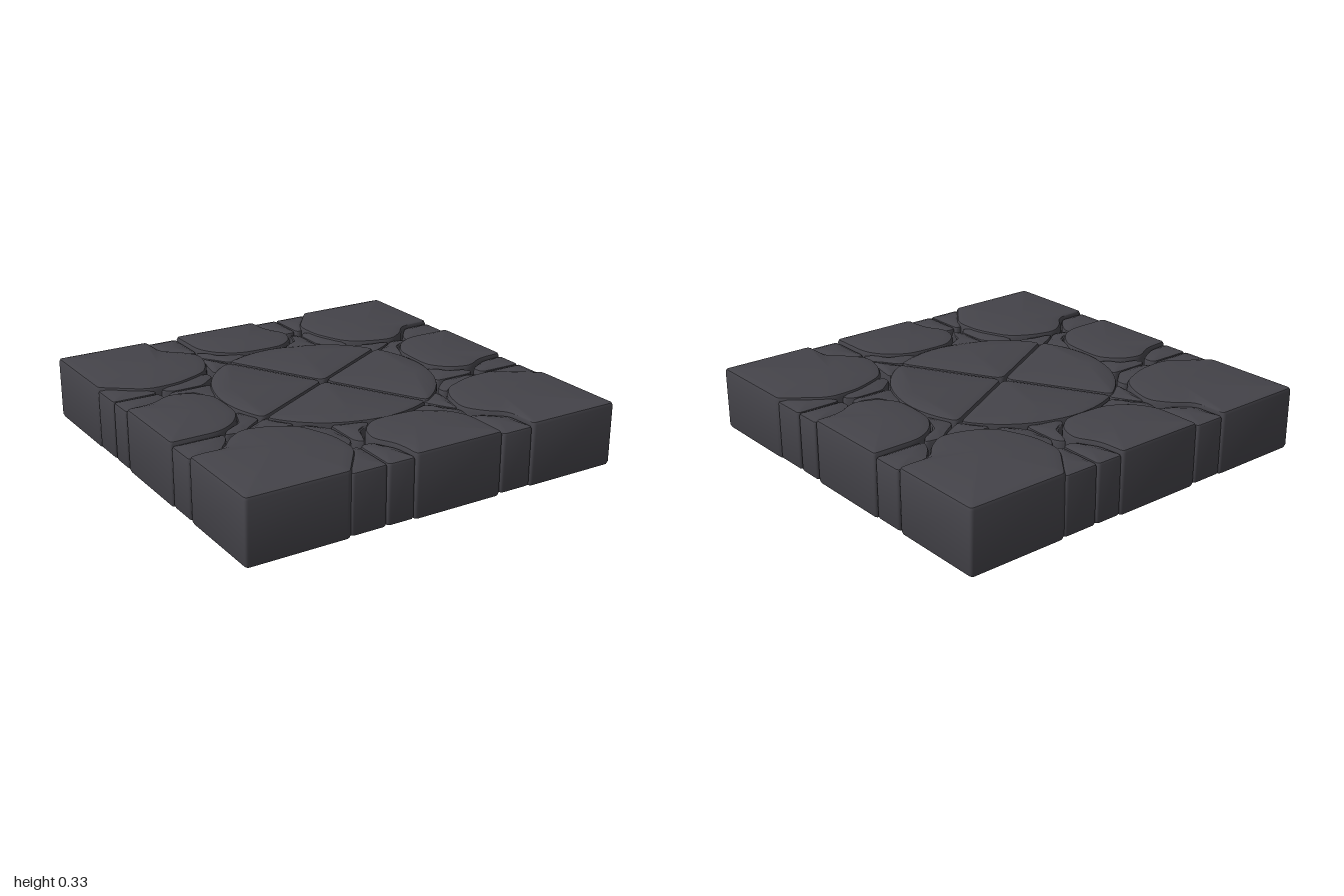
import * as THREE from 'three';
import { toCreasedNormals } from 'three/addons/utils/BufferGeometryUtils.js';

// Round the corners of an [x, z] outline; corners on the tile's rim stay tight.
function roundOutline(points, radius) {
  const pts = points.map(([x, z]) => new THREE.Vector2(x, z));
  if (THREE.ShapeUtils.area(pts) < 0) pts.reverse();
  const out = [];
  pts.forEach((p, i) => {
    const prev = pts[(i + pts.length - 1) % pts.length];
    const next = pts[(i + 1) % pts.length];
    const rim = Math.max(Math.abs(p.x), Math.abs(p.y)) > 0.95;
    const toward = (q) => {
      const length = p.distanceTo(q);
      return p.clone().lerp(q, Math.min(rim ? 0.018 : radius, length * 0.4) / length);
    };
    out.push(...new THREE.QuadraticBezierCurve(toward(prev), p, toward(next)).getPoints(4));
  });
  return out;
}

// A worn stone: stacked rings of the outline, eased inwards at the bottom and top.
function stoneGeometry(points, radius, low, high, bevel) {
  const outline = roundOutline(points, radius);
  const n = outline.length;
  const centre = new THREE.Vector2();
  outline.forEach((p) => centre.addScaledVector(p, 1 / n));

  const rings = [ // inset, height
    [bevel * 2.2, low], [bevel, low + 0.003], [bevel * 0.3, low + bevel * 0.35], [0, low + bevel],
    [0, high - bevel], [bevel * 0.3, high - bevel * 0.4], [bevel, high - 0.005], [bevel * 2.2, high],
  ];
  const positions = [];
  for (const [inset, y] of rings) {
    for (const p of outline) {
      const d = p.distanceTo(centre);
      const s = 1 - Math.min(inset, d * 0.6) / d;
      positions.push(centre.x + (p.x - centre.x) * s, y, centre.y + (p.y - centre.y) * s);
    }
  }
  const bottom = rings.length * n;
  const top = bottom + 1;
  positions.push(centre.x, low, centre.y, centre.x, high, centre.y);

  const index = [];
  for (let i = 0; i < n; i++) {
    const j = (i + 1) % n;
    for (let k = 0; k < rings.length - 1; k++) {
      const a = k * n + i, b = k * n + j, c = b + n, d = a + n;
      index.push(a, d, b, b, d, c);
    }
    const last = (rings.length - 1) * n;
    index.push(bottom, i, j, last + i, top, last + j);
  }
  const geometry = new THREE.BufferGeometry();
  geometry.setAttribute('position', new THREE.Float32BufferAttribute(positions, 3));
  geometry.setIndex(index);
  return toCreasedNormals(geometry, 0.75);
}

// Quarter of the central disc, between two joints.
function wedgeOutline() {
  const R = 0.562, gap = 0.004, start = THREE.MathUtils.degToRad(61);
  const local = [[gap, gap]];
  for (let i = 0; i <= 16; i++) {
    const a = 0.008 + (i / 16) * (Math.PI / 2 - 0.016);
    local.push([R * Math.cos(a), R * Math.sin(a)]);
  }
  const c = Math.cos(start), s = Math.sin(start);
  return local.map(([x, z]) => [x * c - z * s, x * s + z * c]);
}

export function createModel() {
  const model = new THREE.Group();
  model.name = 'stoneFloorTile';
  const stone = new THREE.MeshStandardMaterial({ color: 0x444349 });
  stone.name = 'dark slate';

  // One side of the tile: outline in x, z; the other three sides are turned copies.
  const big = { radius: 0.06, low: 0, high: 0.332, bevel: 0.022 };
  const small = { radius: 0.03, low: 0.01, high: 0.314, bevel: 0.016 };
  const parts = [
    ['cornerStone', big, [[1, 0.49], [0.8, 0.335], [0.63, 0.34], [0.45, 0.41], [0.38, 0.52], [0.345, 0.66],
      [0.41, 0.76], [0.5, 0.83], [0.505, 1], [1, 1]]],
    ['edgeStone', big, [[-0.15, 1], [-0.16, 0.86], [-0.225, 0.75], [-0.19, 0.64], [-0.1, 0.565], [0, 0.56],
      [0.16, 0.57], [0.27, 0.65], [0.325, 0.75], [0.325, 1]]],
    ['rimPebbleLeft', small, [[-0.485, 1], [-0.302, 1], [-0.302, 0.765], [-0.34, 0.765], [-0.4, 0.85], [-0.49, 0.96]]],
    ['rimPebbleMiddle', small, [[-0.298, 1], [-0.155, 1], [-0.165, 0.87], [-0.23, 0.755], [-0.295, 0.76]]],
    ['rimPebbleRight', small, [[0.33, 1], [0.5, 1], [0.495, 0.84], [0.4, 0.76], [0.33, 0.73]]],
    ['ringPebbleA', small, [[-0.425, 0.43], [-0.37, 0.425], [-0.283, 0.525], [-0.283, 0.69], [-0.33, 0.74],
      [-0.39, 0.64], [-0.435, 0.53]]],
    ['ringPebbleB', small, [[-0.278, 0.49], [-0.11, 0.525], [-0.11, 0.57], [-0.2, 0.63], [-0.245, 0.74], [-0.282, 0.7]]],
    ['ringPebbleC', small, [[0.11, 0.56], [0.25, 0.505], [0.3, 0.575], [0.355, 0.65], [0.34, 0.74], [0.3, 0.71], [0.24, 0.615]]],
    ['ringPebbleD', small, [[0.255, 0.48], [0.4, 0.4], [0.385, 0.52], [0.35, 0.64], [0.3, 0.57]]],
    ['discQuarter', { radius: 0.045, low: 0.005, high: 0.326, bevel: 0.02 }, wedgeOutline()],
  ];

  const built = parts.map(([name, o, outline]) =>
    [name, stoneGeometry(outline, o.radius, o.low, o.high, o.bevel)]);
  for (let q = 0; q < 4; q++) {
    const side = new THREE.Group();
    side.name = 'side' + (q + 1);
    side.rotation.y = (q * Math.PI) / 2;
    for (const [name, geometry] of built) {
      const mesh = new THREE.Mesh(geometry, stone);
      mesh.name = name;
      side.add(mesh);
    }
    model.add(side);
  }
  return model;
}
